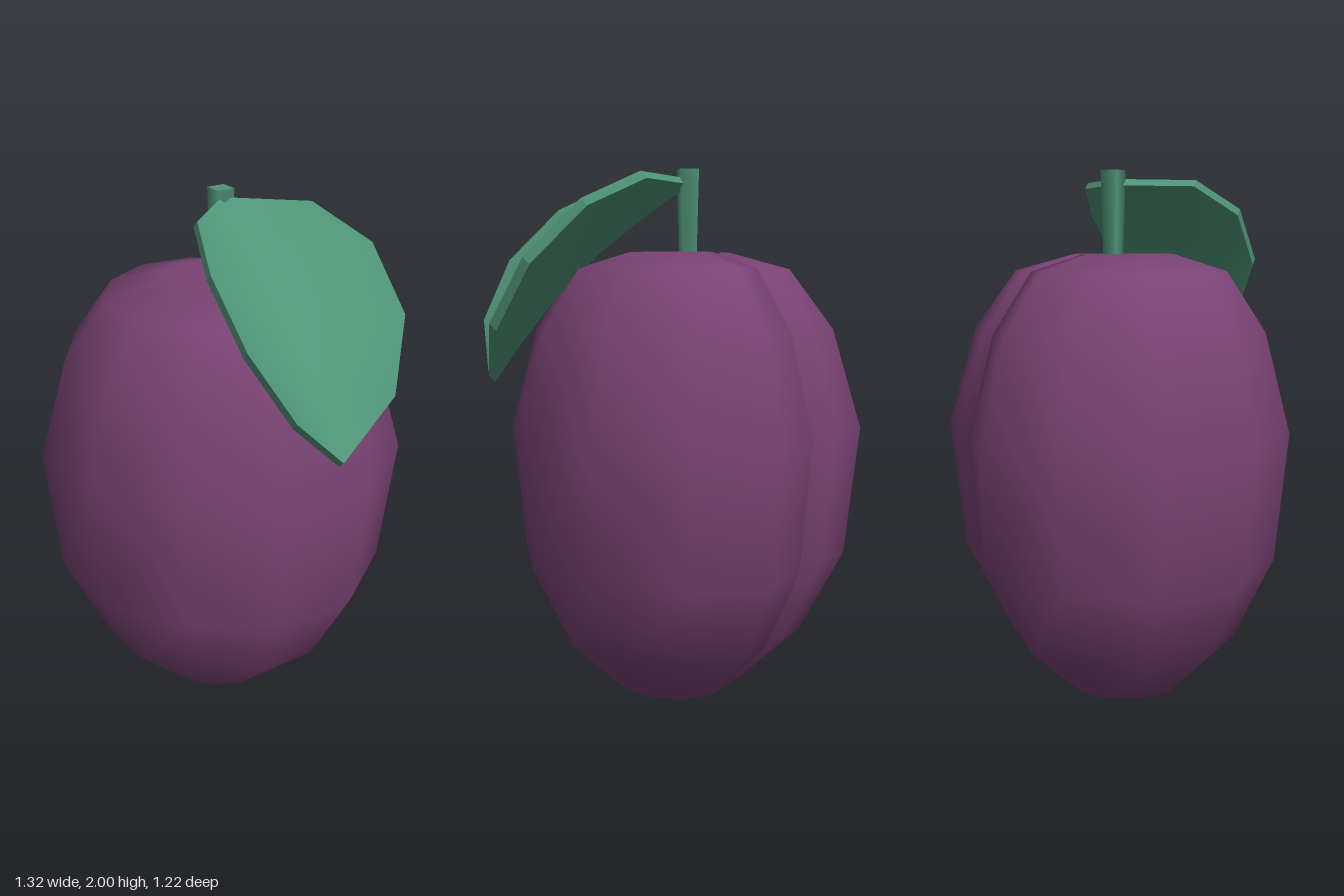
import * as THREE from 'three';

const V = (x, y, z) => new THREE.Vector3(x, y, z);

function meshFrom(points, index, material, name, flat = false) {
  let geo = new THREE.BufferGeometry().setFromPoints(points);
  geo.setIndex(index);
  if (flat) geo = geo.toNonIndexed();
  geo.computeVertexNormals();
  const mesh = new THREE.Mesh(geo, material);
  mesh.name = name;
  return mesh;
}

// Fruit: one half outline, mirrored and scaled up the height, with a groove at the back
function buildFruit(material) {
  const half = [[0.34, 0.5], [0.59, 0.26], [0.66, -0.1], [0.555, -0.42], [0.3, -0.615], [0.095, -0.615]];
  // height, scale, groove z, groove height
  const rings = [
    [0.09, 0.356, -0.19, 0.1],
    [0.295, 0.688, -0.37, 0.3],
    [0.6, 0.924, -0.5, 0.6],
    [1.07, 1, -0.55, 1.07],
    [1.43, 0.845, -0.44, 1.41],
    [1.645, 0.61, -0.28, 1.58],
    [1.705, 0.288, -0.12, 1.61],
  ];
  const points = [], index = [];
  for (const [y, s, gz, gy] of rings) {
    points.push(V(0, y, 0.58 * s));
    for (const [x, z] of half) points.push(V(x * s, y, z * s));
    points.push(V(0, gy, gz));
    for (const [x, z] of [...half].reverse()) points.push(V(-x * s, y, z * s));
  }
  const n = 14, last = rings.length - 1;
  const bottom = points.push(V(0, 0.005, -0.03)) - 1;
  const top = points.push(V(0, 1.6, -0.05)) - 1;
  for (let j = 0; j < n; j++) {
    const k = (j + 1) % n;
    index.push(bottom, k, j);
    for (let i = 0; i < last; i++) {
      const a = i * n + j, b = i * n + k;
      index.push(a, b, b + n, a, b + n, a + n);
    }
    index.push(last * n + j, last * n + k, top);
  }
  return meshFrom(points, index, material, 'fruit');
}

// Leaf: two halves folded along a midrib, with a thick rim
function buildLeaf(material) {
  const leaf = new THREE.Group();
  leaf.name = 'leaf';
  const base = V(0.005, 1.97, -0.045), tip = V(0.51, 1.27, 0.46);
  const right = [V(0.31, 1.97, -0.06), V(0.525, 1.87, 0.03), V(0.655, 1.68, 0.17), V(0.65, 1.46, 0.325)];
  const left = right.map((p) => V(p.z + 0.05, p.y, p.x - 0.05));
  const normal = V(0.495, 0.713, 0.495);
  const mid = [0.2, 0.42, 0.65, 0.84].map((t) =>
    base.clone().lerp(tip, t).addScaledVector(normal, 0.06 * Math.sin(Math.PI * t)));
  const L = 1, M = 5, R = 9, T = 13;
  const topPoints = [base, ...left, ...mid, ...right, tip];
  const under = topPoints.map((p) => p.clone().addScaledVector(normal, -0.032));
  const index = [0, L, M, 0, M, R, L + 3, T, M + 3, M + 3, T, R + 3];
  for (let i = 0; i < 3; i++) {
    for (const [a, b] of [[L + i, M + i], [M + i, R + i]]) {
      index.push(a, a + 1, b + 1, a, b + 1, b);
    }
  }
  leaf.add(meshFrom(topPoints, index, material, 'leafTop'));
  leaf.add(meshFrom(under, [...index].reverse(), material, 'leafUnderside'));

  const outline = [0, 1, 2, 3, 4, T, 12, 11, 10, 9], rim = [];
  outline.forEach((p, i) => {
    const q = outline[(i + 1) % outline.length];
    rim.push(p + 14, q + 14, q, p + 14, q, p);
  });
  leaf.add(meshFrom([...topPoints, ...under], rim, material, 'leafRim', true));
  return leaf;
}

export function createModel() {
  const skin = new THREE.MeshStandardMaterial({ color: 0x7a4374 });
  skin.name = 'plum purple';
  const green = new THREE.MeshStandardMaterial({ color: 0x4f9578 });
  green.name = 'leaf green';

  const model = new THREE.Group();
  model.name = 'plum';
  model.add(buildFruit(skin), buildLeaf(green));

  // Four-sided stem, slightly wider at the top
  const stem = new THREE.Mesh(new THREE.CylinderGeometry(0.047, 0.034, 0.44, 4), green);
  stem.name = 'stem';
  stem.position.set(0, 1.78, -0.055);
  model.add(stem);
  return model;
}
